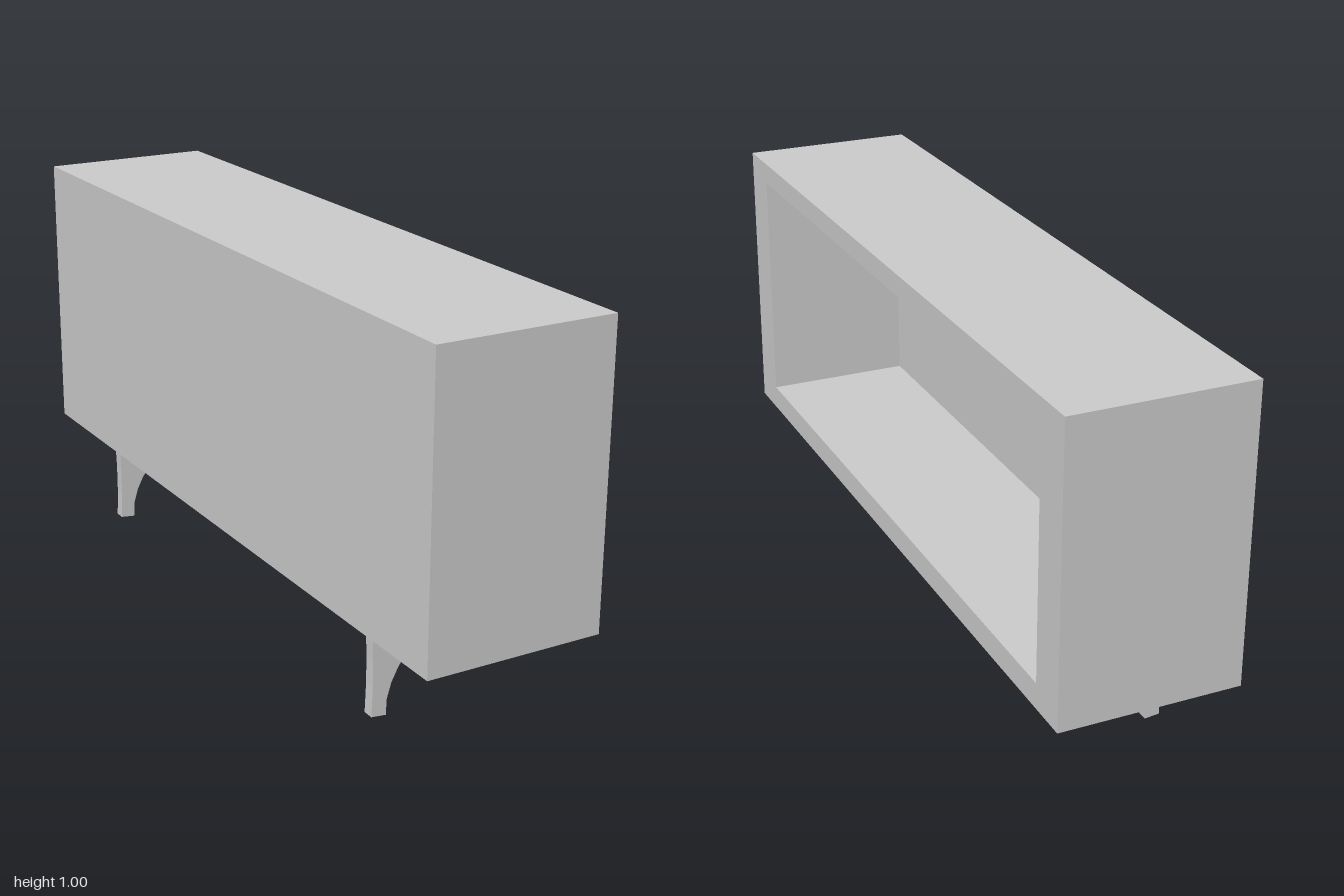
import * as THREE from 'three';

export function createModel() {
  const group = new THREE.Group();
  const material = new THREE.MeshStandardMaterial({ color: 0xcccccc, flatShading: true });
  const add = (name, geometry) => {
    const mesh = new THREE.Mesh(geometry, material);
    mesh.name = name;
    group.add(mesh);
    return mesh;
  };
  const rect = (Type, x0, y0, x1, y1) => {
    const r = new Type();
    r.moveTo(x0, y0).lineTo(x1, y0).lineTo(x1, y1).lineTo(x0, y1).closePath();
    return r;
  };

  // Cabinet frame, open towards +x (shape x runs along -z)
  const halfWidth = 0.233, innerBack = -0.167, bottom = 0.24;
  const frame = rect(THREE.Shape, -1, bottom, 1, 1);
  frame.holes.push(rect(THREE.Path, -0.883, 0.306, 0.893, 0.944));
  const frameGeometry = new THREE.ExtrudeGeometry(frame, { depth: halfWidth - innerBack, bevelEnabled: false });
  frameGeometry.rotateY(Math.PI / 2).translate(innerBack, 0, 0);
  add('cabinetFrame', frameGeometry);

  // Back panel closing the frame
  const thickness = innerBack + halfWidth;
  const back = new THREE.BoxGeometry(thickness, 1 - bottom, 2);
  back.translate(-halfWidth + thickness / 2, (1 + bottom) / 2, 0);
  add('backPanel', back);

  // Bracket legs with a curved inner edge
  const profile = [
    [-0.192, 0.24], [-0.189, 0.15], [-0.189, 0.08], [-0.192, 0.004], [-0.152, 0],
    [-0.15, 0.042], [-0.138, 0.082], [-0.119, 0.119], [-0.094, 0.151], [-0.062, 0.177],
    [-0.024, 0.198], [0.018, 0.211], [0.06, 0.214], [0.06, 0.24],
  ];
  const legShape = new THREE.Shape(profile.map(([x, y]) => new THREE.Vector2(x, y)));
  const legDepth = 0.03;
  const legGeometry = new THREE.ExtrudeGeometry(legShape, { depth: legDepth, bevelEnabled: false });
  legGeometry.translate(0, 0, -legDepth / 2);
  for (const [name, z] of [['frontLeg', 0.696], ['rearLeg', -0.703]]) {
    add(name, legGeometry).position.z = z;
  }
  return group;
}
